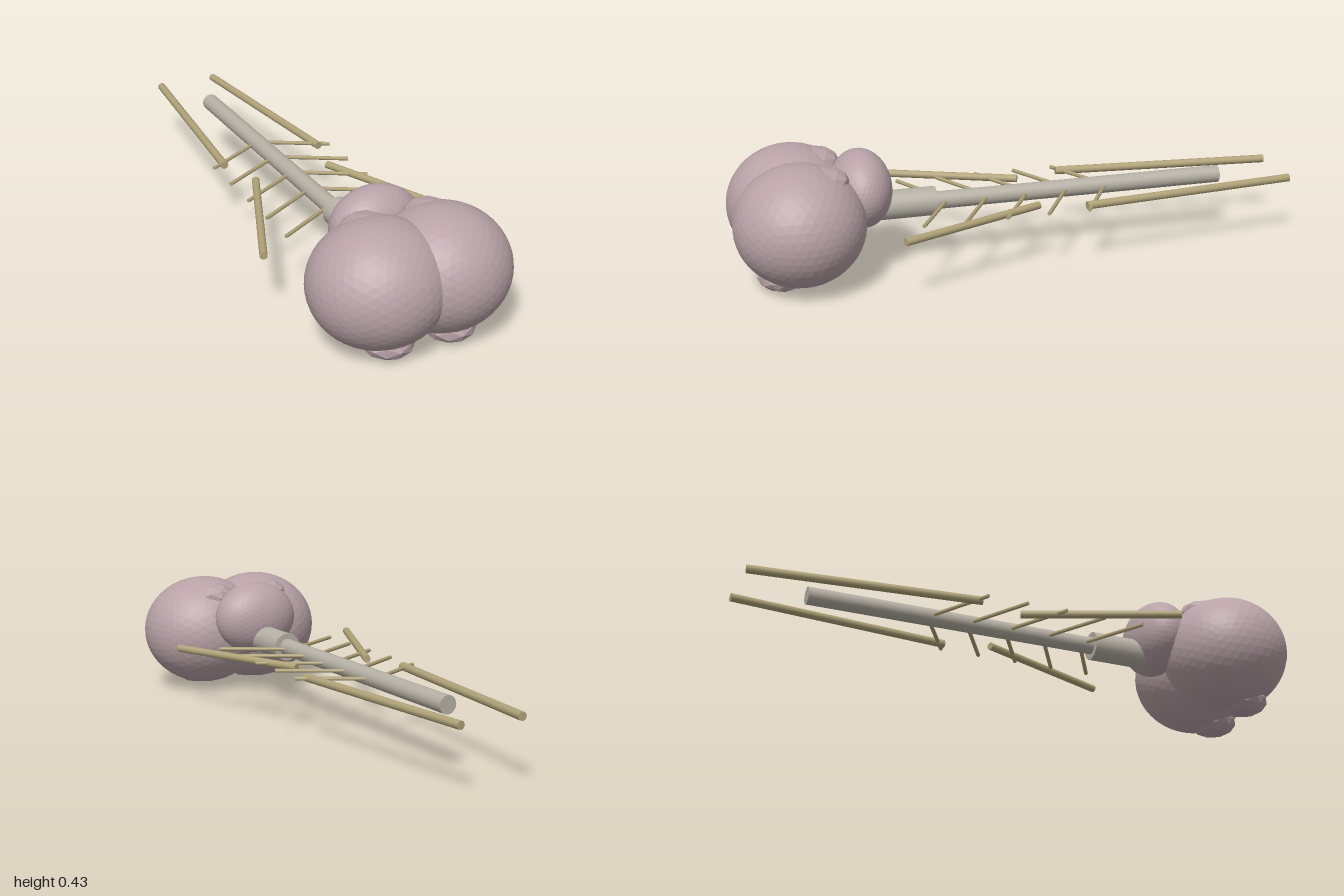
import * as THREE from 'three';

const mat = (name, color, flatShading = false) => {
  const m = new THREE.MeshStandardMaterial({ color, flatShading });
  m.name = name;
  return m;
};

export function createModel() {
  const model = new THREE.Group();
  model.name = 'nervousSystem';
  const pink = mat('brainPink', 0xb8a2a8, true);
  const grey = mat('cordGrey', 0xb5b0a4);
  const tan = mat('nerveTan', 0xb0a278);
  const Y = 0.226; // height of the cord axis

  // Faceted ellipsoid
  function lobe(name, pos, radii, detail) {
    const mesh = new THREE.Mesh(new THREE.IcosahedronGeometry(1, detail), pink);
    mesh.name = name;
    mesh.position.set(...pos);
    mesh.scale.set(...radii);
    model.add(mesh);
  }

  // Horizontal rod between two [x, z] points
  function rod(name, a, b, radius, material, sides = 12) {
    const p = new THREE.Vector3(a[0], Y, a[1]);
    const q = new THREE.Vector3(b[0], Y, b[1]);
    const dir = q.clone().sub(p);
    const mesh = new THREE.Mesh(new THREE.CylinderGeometry(radius, radius, dir.length(), sides), material);
    mesh.name = name;
    mesh.position.copy(p).add(q).multiplyScalar(0.5);
    mesh.quaternion.setFromUnitVectors(new THREE.Vector3(0, 1, 0), dir.normalize());
    model.add(mesh);
  }

  // Cerebellum, brain stem and spinal cord
  lobe('cerebellum', [0, 0.298, 0.552], [0.16, 0.135, 0.108], 7);
  rod('brainStem', [0, 0.29], [0, 0.51], 0.051, grey, 24);
  rod('spinalCord', [0, -0.765], [0, 0.32], 0.031, grey, 20);

  for (const [side, s] of [['left', 1], ['right', -1]]) {
    // Brain half with its low bumps
    lobe(side + 'Hemisphere', [s * 0.112, 0.227, 0.777], [0.232, 0.207, 0.223], 7);
    lobe(side + 'LowerLobe', [s * 0.112, 0.053, 0.843], [0.087, 0.05, 0.087], 1);
    lobe(side + 'UpperLobe', [s * 0.112, 0.371, 0.69], [0.085, 0.05, 0.085], 1);

    // Spinal nerves angled forward from the cord
    for (let i = 0; i < 5; i++) {
      const z = -0.2 + i * 0.145;
      rod(side + 'SpinalNerve' + (i + 1), [0, z - 0.135], [s * 0.233, z], 0.007, tan, 8);
    }

    // Long limb nerves
    rod(side + 'ArmNerve', [s * 0.142, -0.045], [s * 0.356, 0.467], 0.0135, tan);
    rod(side + 'LegNerve', [s * 0.19, -0.205], [s * 0.112, -0.998], 0.0145, tan);
  }
  return model;
}
